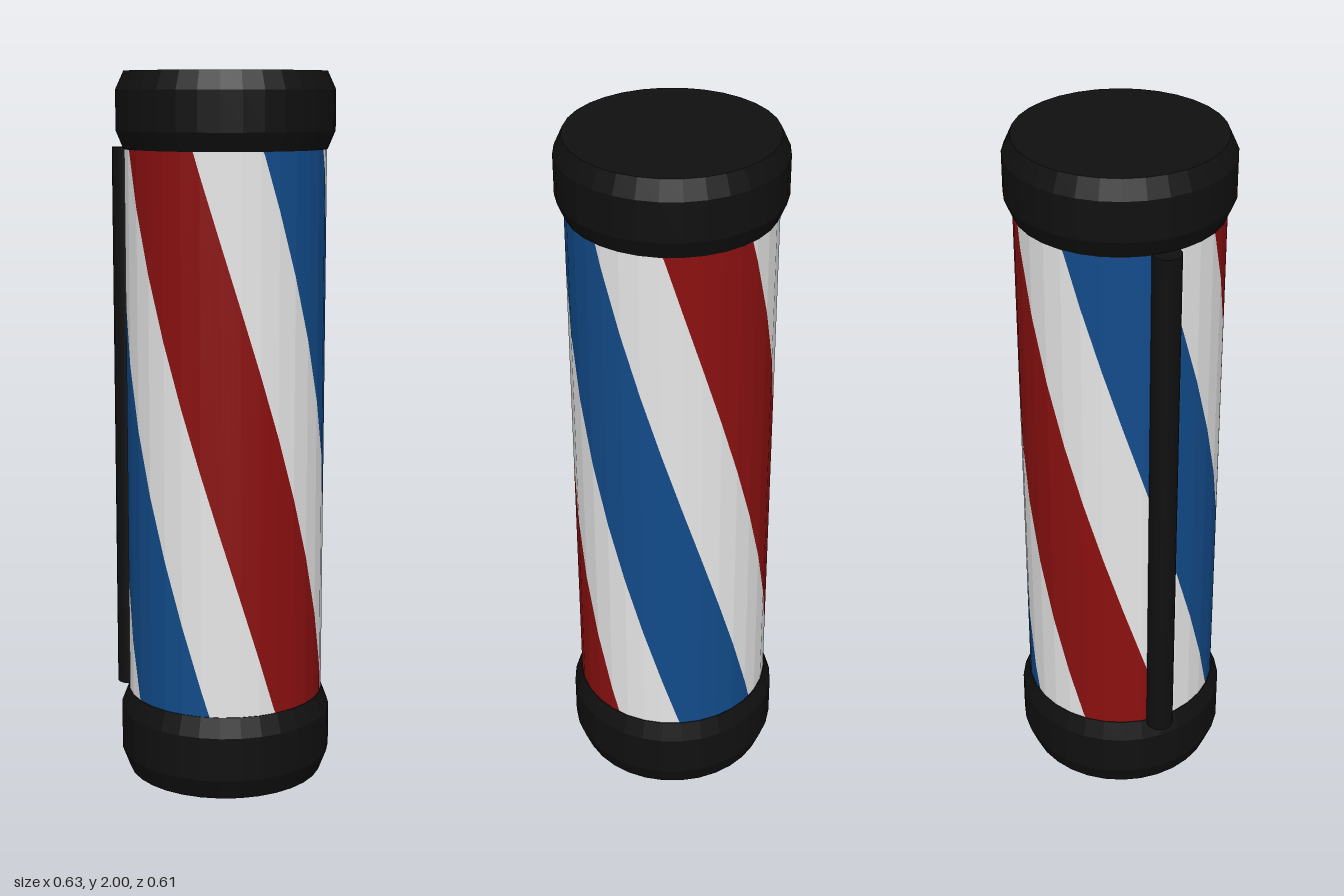
import * as THREE from 'three';

const CX = 0.0115;              // pole axis; the side rail balances the width
const SIDES = 32, SUB = 6;      // facets round the pole, columns per facet
const R = 0.28, TOP = 1.8, BOTTOM = 0.23;
const TWIST = 100;              // degrees each stripe turns from top to bottom

const paint = (name, color) => {
  const m = new THREE.MeshStandardMaterial({ color });
  m.name = name;
  return m;
};

const faceted = (geometry) => {
  const g = geometry.toNonIndexed();
  g.computeVertexNormals();
  return g;
};

// Point on the faceted tube; column counts round from the front towards +x
function tubePoint(column, depth) {
  const facet = Math.floor(column / SUB), f = column / SUB - facet;
  const a = (facet / SIDES) * Math.PI * 2, b = ((facet + 1) / SIDES) * Math.PI * 2;
  const mix = THREE.MathUtils.lerp;
  return [
    R * mix(Math.sin(a), Math.sin(b), f),
    mix(TOP, BOTTOM, depth),
    R * mix(Math.cos(a), Math.cos(b), f),
  ];
}

// Spiral bands between start and end angle (at the top), repeated round the tube
function spiralBands(start, end, repeat) {
  const pos = [];
  const depth = (angle) => THREE.MathUtils.clamp(angle / TWIST, 0, 1);
  const columns = SIDES * SUB;
  for (let c = 0; c < columns; c++) {
    const t0 = (c * 360) / columns, t1 = ((c + 1) * 360) / columns;
    for (let turn = -360; turn <= 360; turn += repeat) {
      const s = start + turn, e = end + turn;
      const hi0 = depth(t0 - e), lo0 = depth(t0 - s);
      const hi1 = depth(t1 - e), lo1 = depth(t1 - s);
      if (lo0 - hi0 + lo1 - hi1 < 1e-6) continue;
      const A = tubePoint(c, lo0), B = tubePoint(c + 1, lo1);
      const C = tubePoint(c + 1, hi1), D = tubePoint(c, hi0);
      if (lo0 - hi0 > 1e-6) pos.push(...A, ...B, ...D);
      if (lo1 - hi1 > 1e-6) pos.push(...B, ...C, ...D);
    }
  }
  const g = new THREE.BufferGeometry();
  g.setAttribute('position', new THREE.Float32BufferAttribute(pos, 3));
  g.computeVertexNormals();
  return g;
}

// Closed cap with bevelled rims
function capGeometry(points) {
  const profile = points.map(([r, y]) => new THREE.Vector2(r, y));
  return faceted(new THREE.LatheGeometry(profile, SIDES));
}

export function createModel() {
  const model = new THREE.Group();
  model.name = 'stripedPole';
  const black = paint('black', 0x101010);
  const white = paint('white', 0xfafafa);
  const red = paint('red', 0x8b1010);
  const blue = paint('blue', 0x124b8a);

  const add = (name, geometry, material, x = CX, y = 0) => {
    const mesh = new THREE.Mesh(geometry, material);
    mesh.name = name;
    mesh.position.set(x, y, 0);
    model.add(mesh);
  };

  // Striped tube
  add('redStripes', spiralBands(-55.5, -4.5, 180), red);
  add('blueStripes', spiralBands(34.5, 85.5, 180), blue);
  add('whiteStripes', spiralBands(-4.5, 34.5, 90), white);

  // End caps
  add('bottomCap', capGeometry([
    [0, 0], [0.28, 0], [0.303, 0.06], [0.303, 0.185], [0.282, 0.239], [0, 0.239],
  ]), black);
  add('topCap', capGeometry([
    [0, 1.79], [0.282, 1.79], [0.303, 1.84], [0.303, 1.95], [0.28, 2], [0, 2],
  ]), black);

  // Rail along the side
  add('sideRail', new THREE.CylinderGeometry(0.039, 0.039, 1.565, 24), black, -0.276, 1.01);

  return model;
}
